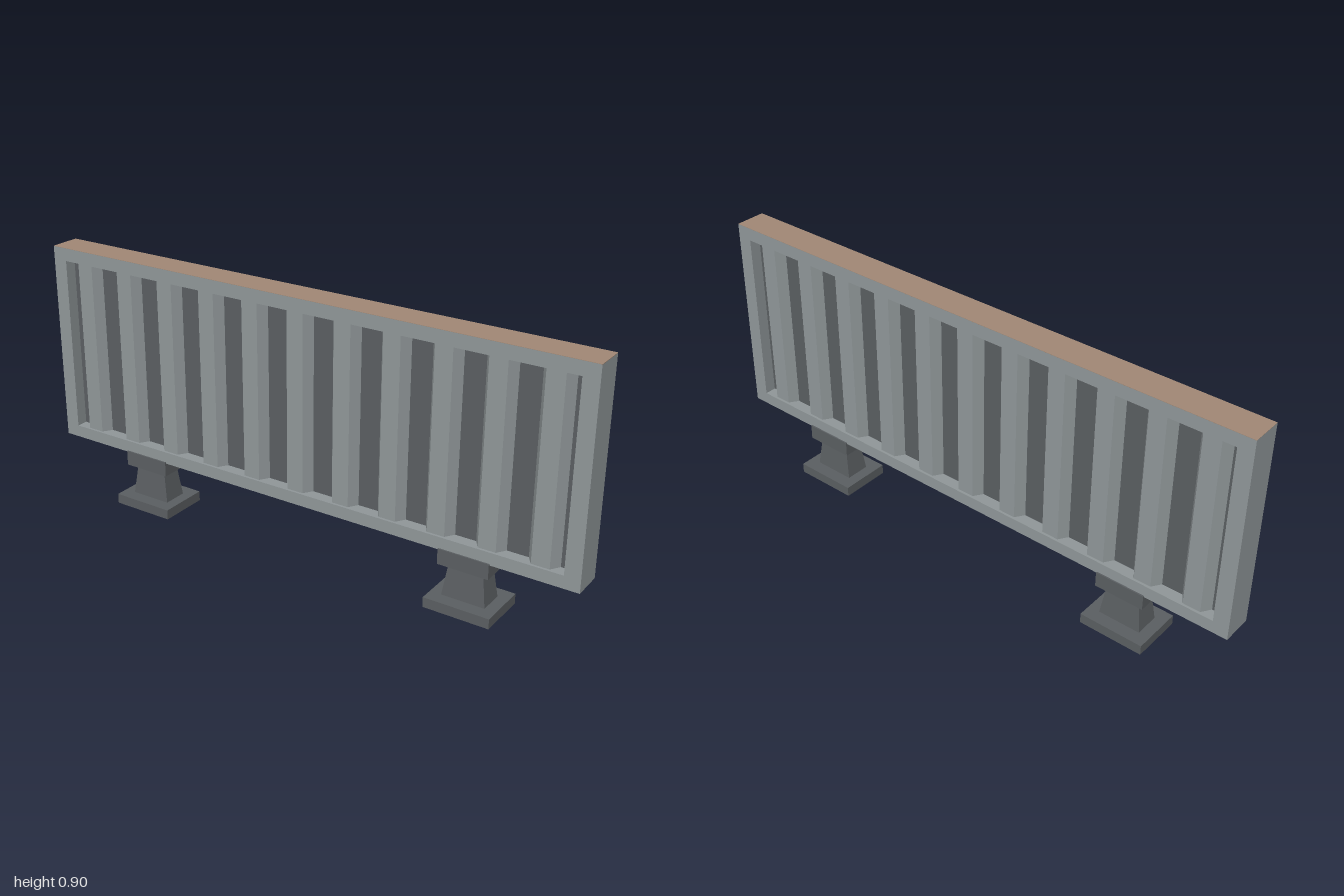
import * as THREE from 'three';

const frameGrey = new THREE.MeshStandardMaterial({ color: 0x8f9698 });
frameGrey.name = 'frame grey';
const darkGrey = new THREE.MeshStandardMaterial({ color: 0x5a5e61, side: THREE.DoubleSide });
darkGrey.name = 'dark grey';
const topBrown = new THREE.MeshStandardMaterial({ color: 0xa08774 });
topBrown.name = 'top brown';

const BOTTOM = 0.195, TOP = 0.9, DEPTH = 0.108;

function add(parent, name, geometry, material, x = 0, y = 0, z = 0) {
  const mesh = new THREE.Mesh(geometry, material);
  mesh.name = name;
  mesh.position.set(x, y, z);
  parent.add(mesh);
  return mesh;
}

// Rectangular shell through rings of [halfWidth, y, halfDepth], open below
function rectangularShell(rings) {
  const corners = [[1, 1], [1, -1], [-1, -1], [-1, 1]];
  const positions = [];
  const point = ([w, y, d], i) => {
    const [sx, sz] = corners[i % 4];
    return [sx * w, y, sz * d];
  };
  for (let r = 0; r < rings.length - 1; r++) {
    for (let i = 0; i < 4; i++) {
      const a = point(rings[r], i), b = point(rings[r], i + 1);
      const c = point(rings[r + 1], i + 1), d = point(rings[r + 1], i);
      positions.push(...a, ...b, ...c, ...a, ...c, ...d);
    }
  }
  const geometry = new THREE.BufferGeometry();
  geometry.setAttribute('position', new THREE.Float32BufferAttribute(positions, 3));
  geometry.computeVertexNormals();
  return geometry;
}

export function createModel() {
  const model = new THREE.Group();
  model.name = 'barrierPanel';

  // Outer frame with a rectangular opening
  const outline = new THREE.Shape([
    new THREE.Vector2(-1, BOTTOM), new THREE.Vector2(1, BOTTOM),
    new THREE.Vector2(1, TOP), new THREE.Vector2(-1, TOP),
  ]);
  outline.holes.push(new THREE.Path([
    new THREE.Vector2(-0.947, 0.238), new THREE.Vector2(-0.947, 0.855),
    new THREE.Vector2(0.947, 0.855), new THREE.Vector2(0.947, 0.238),
  ]));
  const frame = new THREE.ExtrudeGeometry(outline, { depth: DEPTH, bevelEnabled: false });
  add(model, 'frame', frame, frameGrey, 0, 0, -DEPTH / 2);

  // Coloured upper face of the frame
  add(model, 'topStrip', new THREE.BoxGeometry(2, 0.002, DEPTH), topBrown, 0, TOP);

  // Recessed panel seen between the ribs
  add(model, 'recessedPanel', new THREE.BoxGeometry(1.9, 0.62, 0.026), darkGrey, 0, 0.5465);

  // Vertical ribs, raised on both sides of the panel
  const profile = new THREE.Shape([
    [-0.051, -0.013], [-0.03, -0.045], [0.03, -0.045], [0.051, -0.013],
    [0.051, 0.013], [0.03, 0.045], [-0.03, 0.045], [-0.051, 0.013],
  ].map(([x, z]) => new THREE.Vector2(x, z)));
  const rib = new THREE.ExtrudeGeometry(profile, { depth: 0.617, bevelEnabled: false });
  rib.rotateX(-Math.PI / 2);
  const ribs = new THREE.Group();
  ribs.name = 'ribs';
  for (let i = -5; i <= 5; i++) add(ribs, 'rib', rib, frameGrey, i * 0.1737, 0.238);
  model.add(ribs);

  // Hollow feet: base plate, tapered post and supporting collar
  const foot = rectangularShell([
    [0.114, 0, 0.09], [0.114, 0.035, 0.09],
    [0.075, 0.035, 0.044], [0.059, 0.147, 0.034],
    [0.087, 0.147, 0.059], [0.087, 0.2, 0.059], [0, 0.2, 0],
  ]);
  for (const side of [-1, 1]) add(model, side > 0 ? 'leftFoot' : 'rightFoot', foot, darkGrey, side * 0.625);

  return model;
}
